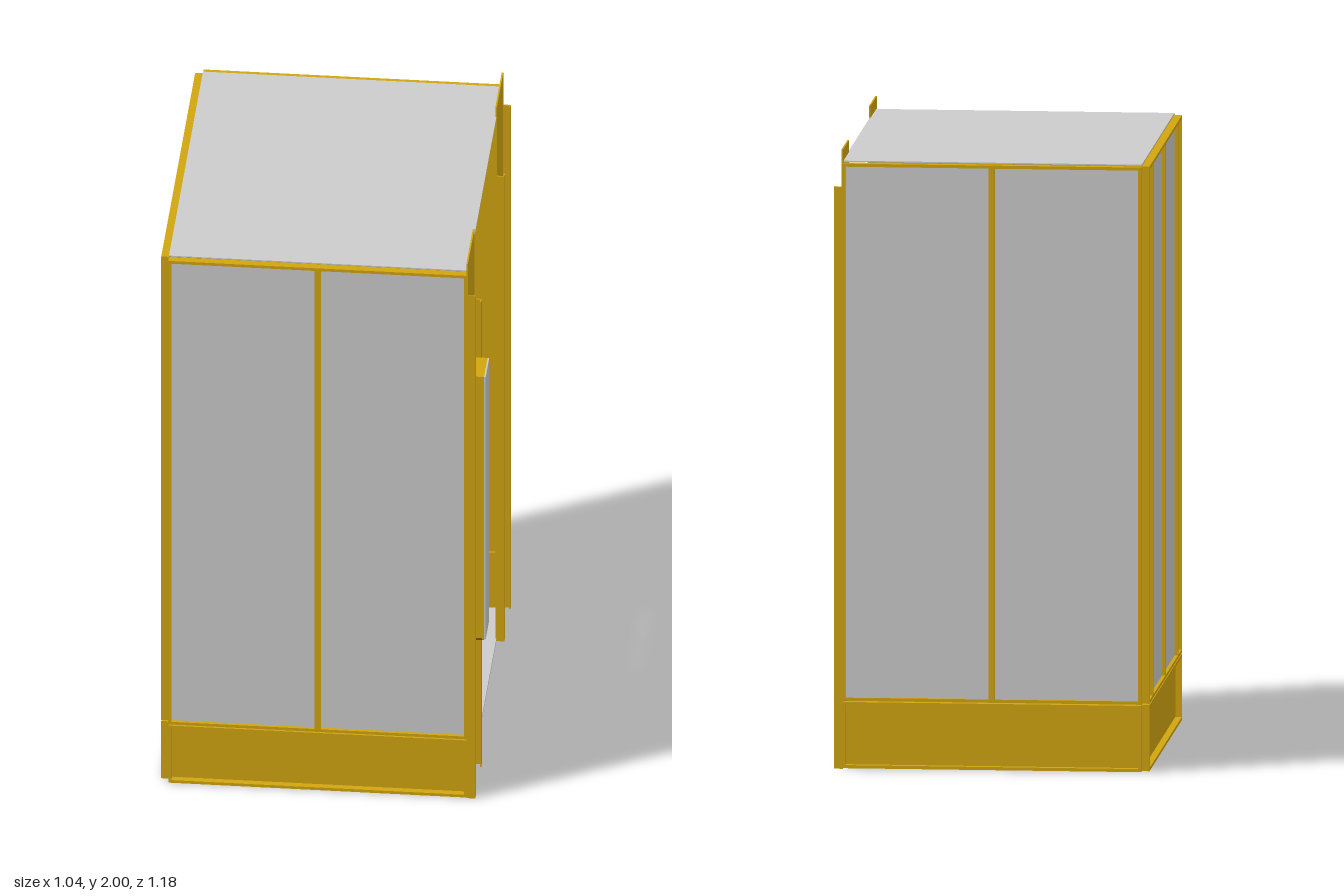
import * as THREE from 'three';

const paint = (color) => new THREE.MeshStandardMaterial({ color, side: THREE.DoubleSide });
const yellow = paint(0xd2a510);
const grey = paint(0xcccccc);
const black = paint(0x0a0a0a);

// Box given by its minimum and maximum corners
function box(parent, name, mat, [x0, y0, z0], [x1, y1, z1]) {
  const mesh = new THREE.Mesh(new THREE.BoxGeometry(x1 - x0, y1 - y0, z1 - z0), mat);
  mesh.position.set((x0 + x1) / 2, (y0 + y1) / 2, (z0 + z1) / 2);
  mesh.name = name;
  parent.add(mesh);
  return mesh;
}

// Rectangular ring in the XY plane, extruded along +z
function ring(parent, name, mat, x0, y0, x1, y1, rim, depth) {
  const rect = (C, a, b, c, d) => {
    const p = new C();
    p.moveTo(a, b); p.lineTo(c, b); p.lineTo(c, d); p.lineTo(a, d); p.closePath();
    return p;
  };
  const shape = rect(THREE.Shape, x0, y0, x1, y1);
  shape.holes.push(rect(THREE.Path, x0 + rim, y0 + rim, x1 - rim, y1 - rim));
  const mesh = new THREE.Mesh(new THREE.ExtrudeGeometry(shape, { depth, bevelEnabled: false }), mat);
  mesh.name = name;
  parent.add(mesh);
  return mesh;
}

const DEPTH = 0.025, RIM = 0.01, WALL_TOP = 1.955, KICK_TOP = 0.22;

// Folded sheet pan: inner skin, outward rim, optional insulation board
function pan(parent, name, x0, y0, x1, y1, filled) {
  const g = new THREE.Group();
  g.name = name;
  ring(g, 'panelRim', yellow, x0, y0, x1, y1, RIM, DEPTH);
  box(g, 'panelSkin', yellow, [x0, y0, 0], [x1, y1, 0.004]);
  if (filled) box(g, 'insulation', grey, [x0 + RIM, y0 + RIM, 0.004], [x1 - RIM, y1 - RIM, 0.014]);
  parent.add(g);
}

// Wall of upper pans between the given seams above one kick pan
function wall(name, seams, filled) {
  const g = new THREE.Group();
  g.name = name;
  pan(g, 'kickPanel', seams[0], 0.002, seams.at(-1), KICK_TOP - 0.004, false);
  filled.forEach((f, i) => pan(g, 'wallPanel', seams[i], KICK_TOP, seams[i + 1], WALL_TOP, f));
  return g;
}

// Doorway post: flat plate with two outward flanges and inturned lips
function post(name, zOut, zIn) {
  const g = new THREE.Group();
  g.name = name;
  const s = Math.sign(zOut), t = 0.004;
  const lo = Math.min(zOut, zIn), hi = Math.max(zOut, zIn);
  box(g, 'postPlate', yellow, [0.462, 0, lo], [0.467, 2, hi]);
  for (const [z, dir, lip] of [[zOut, -s, 0.012], [zIn, s, 0.02]]) {
    const a = z + dir * t, b = z + dir * lip;
    const top = z === zIn ? 1.74 : 1.88;
    box(g, 'postFlange', yellow, [0.467, 0, Math.min(z, a)], [0.491, top, Math.max(z, a)]);
    box(g, 'postLip', yellow, [0.487, 0, Math.min(z, b)], [0.491, top, Math.max(z, b)]);
  }
  return g;
}

export function createModel() {
  const model = new THREE.Group();
  model.name = 'liftCabin';

  // Floor and roof sheets
  box(model, 'floor', grey, [-0.495, 0, -0.565], [0.465, 0.01, 0.565]);
  box(model, 'roof', grey, [-0.495, 1.957, -0.567], [0.465, 1.961, 0.567]);

  // Three panelled walls
  const front = wall('frontWall', [-0.495, -0.015, 0.465], [true, true]);
  front.position.z = 0.565;
  const back = wall('backWall', [-0.465, 0.015, 0.495], [true, true]);
  back.position.z = -0.565;
  back.rotation.y = Math.PI;
  const side = wall('sideWall', [-0.567, -0.44, -0.01, 0.43, 0.565], [false, true, true, false]);
  side.position.x = -0.495;
  side.rotation.y = -Math.PI / 2;
  model.add(front, back, side);

  // Doorway posts
  model.add(post('frontPost', 0.59, 0.375), post('rearPost', -0.59, -0.378));

  // Suspended ceiling with stepped frame and lamp
  const ceiling = new THREE.Group();
  ceiling.name = 'ceiling';
  box(ceiling, 'ceilingPanel', yellow, [-0.38, 1.945, -0.4], [0.35, 1.95, 0.4]);
  const frame = ring(ceiling, 'ceilingFrame', yellow, -0.38, -0.4, 0.35, 0.4, 0.05, 0.015);
  frame.rotation.x = Math.PI / 2;
  frame.position.y = 1.945;
  const lamp = ring(ceiling, 'lampFrame', black, -0.12, -0.225, 0.1, 0.225, 0.03, 0.04);
  lamp.rotation.x = Math.PI / 2;
  lamp.position.y = 1.945;
  box(ceiling, 'lampPanel', grey, [-0.09, 1.93, -0.195], [0.07, 1.944, 0.195]);
  model.add(ceiling);

  // Control box on the front post
  const control = new THREE.Group();
  control.name = 'controlBox';
  box(control, 'controlHousing', yellow, [0.467, 0.575, 0.432], [0.515, 1.555, 0.55]);
  box(control, 'controlFace', grey, [0.515, 0.572, 0.432], [0.52, 1.555, 0.55]);
  box(control, 'controlBase', black, [0.467, 0.572, 0.432], [0.515, 0.575, 0.55]);
  box(control, 'guardStrip', yellow, [0.467, 0.59, 0.415], [0.505, 1.545, 0.42]);
  model.add(control);

  return model;
}
